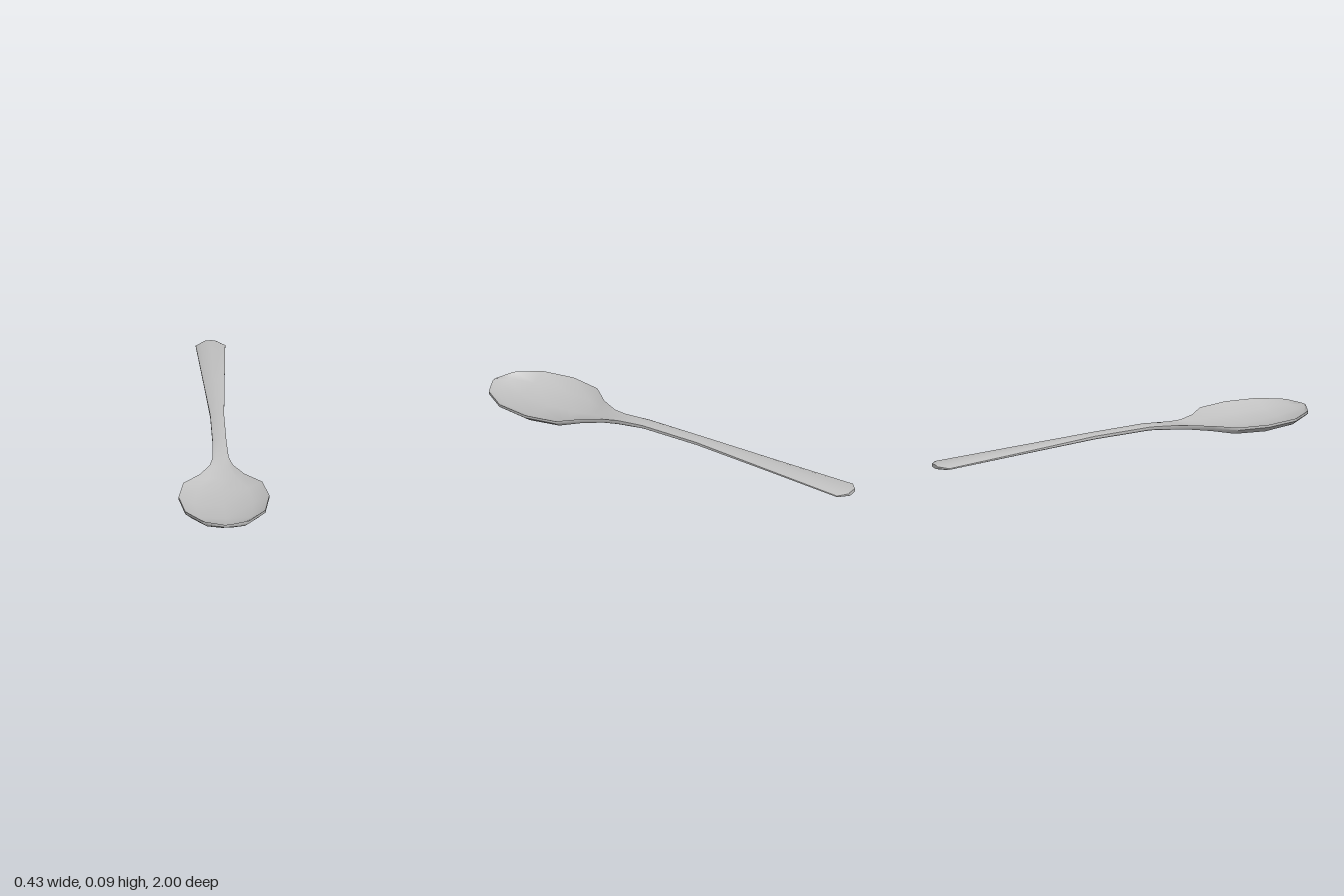
import * as THREE from 'three';
import { toCreasedNormals } from 'three/addons/utils/BufferGeometryUtils.js';

// Cross-sections from bowl tip to handle end:
// z, half width, rim top, centre top, rim bottom, centre bottom
const SECTIONS = [
  [1.0, 0.012, 0.063, 0.062, 0.05, 0.049],
  [0.96, 0.11, 0.063, 0.042, 0.05, 0.028],
  [0.85, 0.19, 0.063, 0.022, 0.05, 0.008],
  [0.69, 0.215, 0.063, 0.014, 0.05, 0.0],
  [0.54, 0.187, 0.063, 0.021, 0.05, 0.007],
  [0.45, 0.105, 0.063, 0.036, 0.05, 0.022],
  [0.36, 0.055, 0.066, 0.056, 0.052, 0.036],
  [0.29, 0.038, 0.072, 0.072, 0.056, 0.045],
  [0.15, 0.033, 0.084, 0.09, 0.07, 0.063],
  [-0.15, 0.033, 0.083, 0.088, 0.07, 0.063],
  [-0.55, 0.051, 0.068, 0.077, 0.06, 0.052],
  [-0.96, 0.07, 0.054, 0.065, 0.048, 0.04],
  [-1.0, 0.028, 0.058, 0.062, 0.048, 0.043],
];

// Closed ring: across the top from -x to +x, then back underneath
function ring([z, w, rim, top, low, bottom]) {
  const mix = THREE.MathUtils.lerp;
  const upper = [-1, -0.65, 0, 0.65, 1].map((f) => [f * w, mix(top, rim, f * f * f * f), z]);
  const lower = [[1, 1], [0.82, 0.4], [0.2, 0], [-0.2, 0], [-0.82, 0.4], [-1, 1]]
    .map(([f, t]) => [f * w, mix(bottom, low, t), z]);
  return [...upper, ...lower];
}

function loft(sections) {
  const rings = sections.map(ring);
  const n = rings[0].length;
  const index = [];
  for (let i = 0; i < rings.length - 1; i++) {
    for (let j = 0; j < n; j++) {
      const a = i * n + j;
      const b = i * n + ((j + 1) % n);
      index.push(a, b, b + n, a, b + n, a + n);
    }
  }
  // End caps
  const last = (rings.length - 1) * n;
  for (let j = 1; j < n - 1; j++) {
    index.push(0, j + 1, j);
    index.push(last, last + j, last + j + 1);
  }
  const geometry = new THREE.BufferGeometry();
  geometry.setAttribute('position', new THREE.Float32BufferAttribute(rings.flat(2), 3));
  geometry.setIndex(index);
  return toCreasedNormals(geometry, 0.9);
}

export function createModel() {
  const model = new THREE.Group();
  model.name = 'spoon';
  const steel = new THREE.MeshStandardMaterial({ color: 0xc0c0c0 });
  steel.name = 'steel grey';

  // Bowl, neck and handle are one continuous surface
  const body = new THREE.Mesh(loft(SECTIONS), steel);
  body.name = 'bowlAndHandle';
  model.add(body);
  return model;
}
